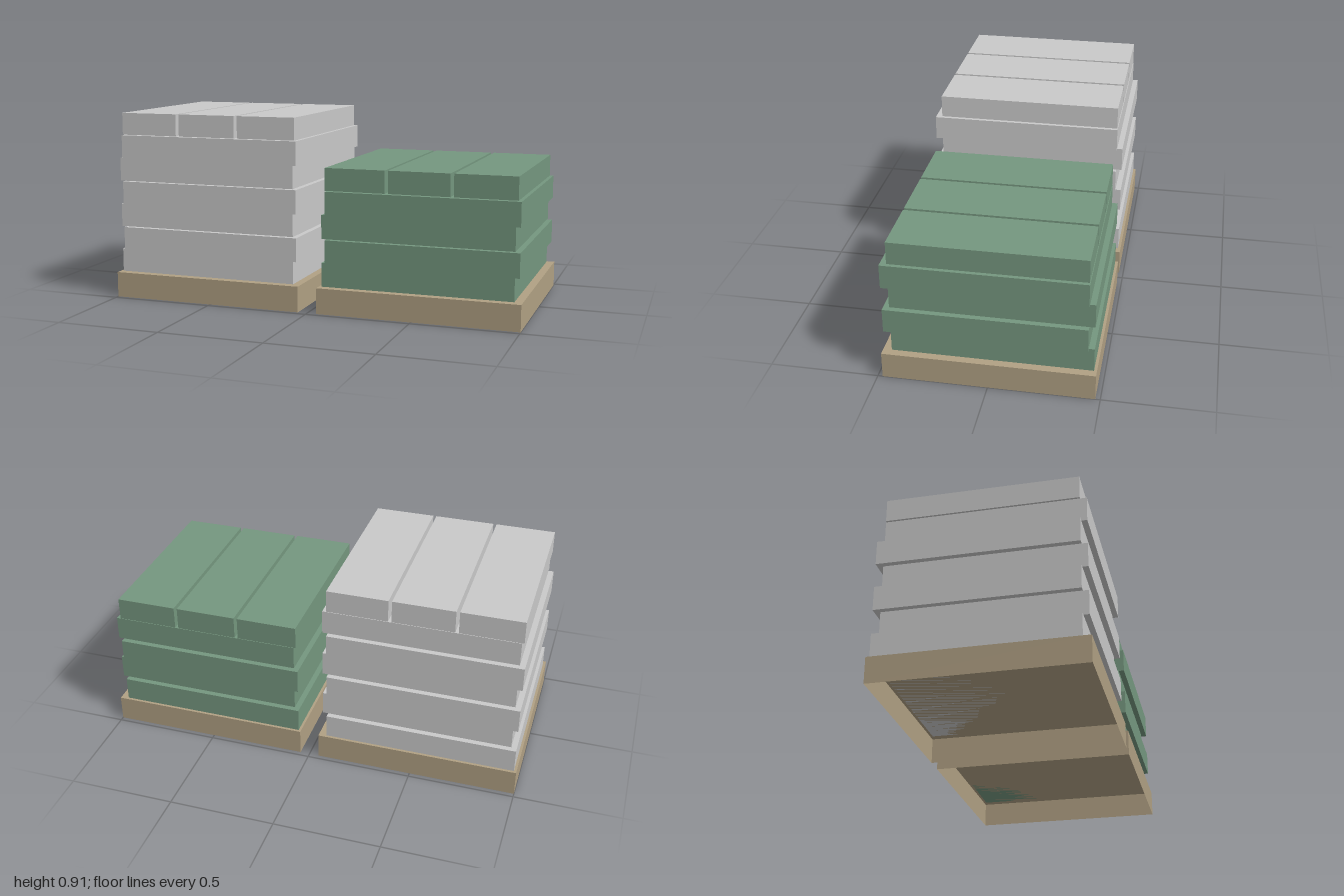
import * as THREE from 'three';

const PALLET_H = 0.123, STEP = 0.113, TOP_H = 0.106;

function makeMaterial(name, color, options = {}) {
  const m = new THREE.MeshStandardMaterial({ color, ...options });
  m.name = name;
  return m;
}

// box given by its limits on each axis
function block(name, material, [x0, x1], [y0, y1], [z0, z1]) {
  const mesh = new THREE.Mesh(new THREE.BoxGeometry(x1 - x0, y1 - y0, z1 - z0), material);
  mesh.position.set((x0 + x1) / 2, (y0 + y1) / 2, (z0 + z1) / 2);
  mesh.name = name;
  return mesh;
}

// thin-walled base, open underneath
function pallet(material) {
  const mesh = block('pallet', material, [-0.477, 0.477], [0, PALLET_H], [-0.478, 0.478]);
  const index = Array.from(mesh.geometry.index.array);
  index.splice(18, 6); // drop the bottom face
  mesh.geometry.setIndex(index);
  mesh.geometry.clearGroups();
  return mesh;
}

// pallet with full layers shifted alternately, and three slabs on top
function stack(name, layers, slabMaterial, palletMaterial) {
  const group = new THREE.Group();
  group.name = name;
  group.add(pallet(palletMaterial));
  for (let i = 0; i < layers; i++) {
    const s = i % 2 ? 1 : -1;
    const y = PALLET_H + i * STEP;
    group.add(block('layer' + (i + 1), slabMaterial,
      [s * 0.013 - 0.452, s * 0.013 + 0.452], [y, y + STEP], [s * 0.013 - 0.452, s * 0.013 + 0.452]));
  }
  const y = PALLET_H + layers * STEP;
  for (let i = -1; i <= 1; i++) {
    const cx = i * 0.304 - 0.001;
    group.add(block('topSlab' + (i + 2), slabMaterial,
      [cx - 0.144, cx + 0.144], [y, y + TOP_H], [-0.436, 0.436]));
  }
  return group;
}

export function createModel() {
  const wood = makeMaterial('wood', 0xb0a083, { side: THREE.DoubleSide });
  const grey = makeMaterial('lightGrey', 0xc9c9c9);
  const green = makeMaterial('green', 0x75977f);
  const model = new THREE.Group();
  model.name = 'palletStacks';
  const tall = stack('greyStack', 6, grey, wood);
  const low = stack('greenStack', 4, green, wood);
  tall.position.x = -0.523;
  low.position.x = 0.523;
  model.add(tall, low);
  return model;
}
